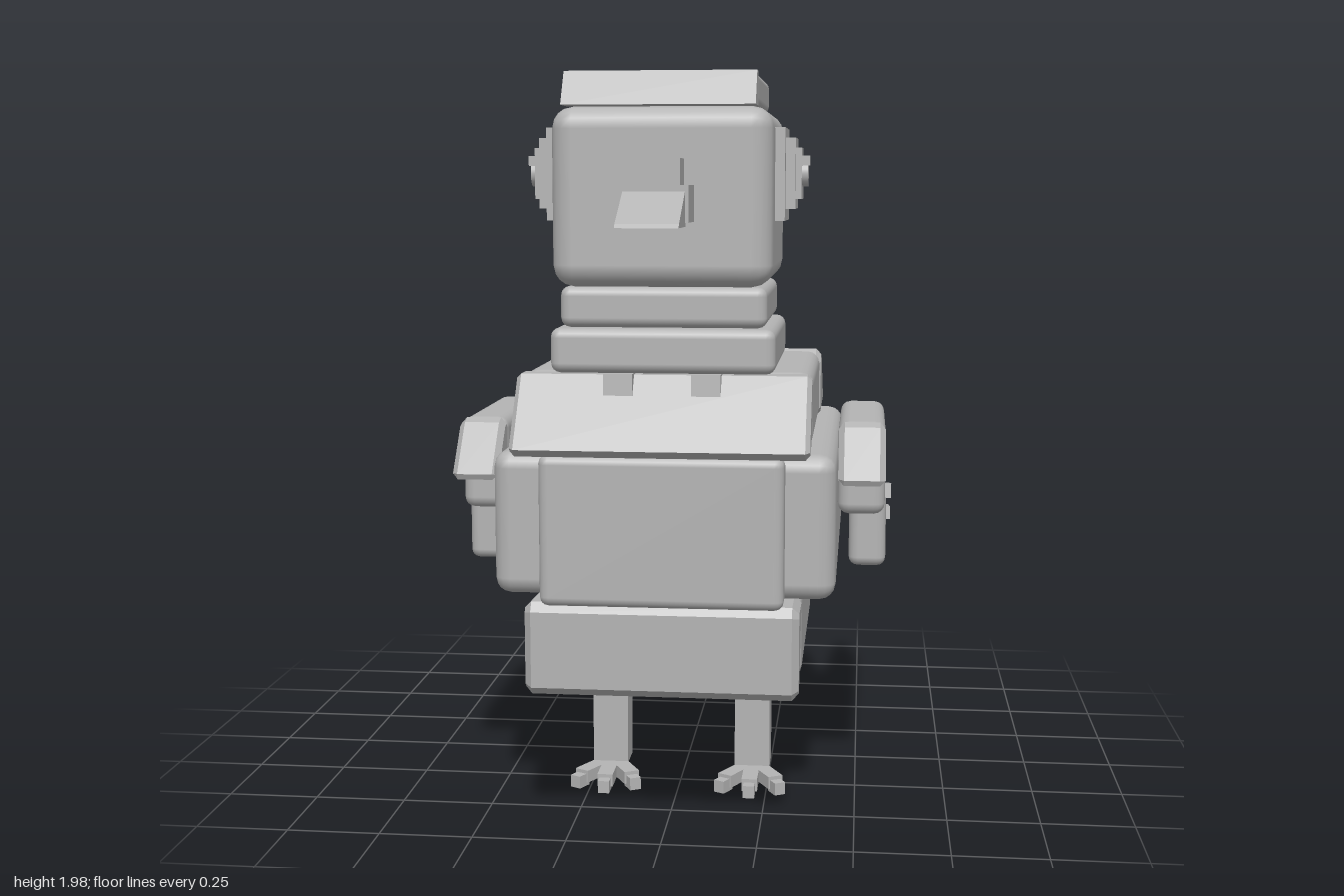
import * as THREE from 'three';
import { RoundedBoxGeometry } from 'three/addons/geometries/RoundedBoxGeometry.js';

export function createModel() {
  const root = new THREE.Group();
  root.name = 'blockyBird';
  const grey = new THREE.MeshStandardMaterial({ color: 0xb4b4b4 });
  grey.name = 'plain grey';

  const add = (parent, name, geometry) => {
    const mesh = new THREE.Mesh(geometry, grey);
    mesh.name = name;
    parent.add(mesh);
    return mesh;
  };
  // Box from its limits; r > 0 rounds the edges
  const block = (parent, name, [x0, x1], [y0, y1], [z0, z1], r = 0) => {
    const size = [x1 - x0, y1 - y0, z1 - z0];
    const g = r ? new RoundedBoxGeometry(...size, 2, r) : new THREE.BoxGeometry(...size);
    const mesh = add(parent, name, g);
    mesh.position.set((x0 + x1) / 2, (y0 + y1) / 2, (z0 + z1) / 2);
    return mesh;
  };
  // Side profile of [z, y] points, extruded across x, with bevelled edges
  const wedge = (parent, name, points, [x0, x1], bevel = 0) => {
    const shape = new THREE.Shape(points.map(([z, y]) => new THREE.Vector2(z, y)));
    const depth = x1 - x0 - 2 * bevel;
    const g = new THREE.ExtrudeGeometry(shape, {
      depth, bevelEnabled: bevel > 0, bevelSize: bevel, bevelThickness: bevel,
      bevelOffset: -bevel, bevelSegments: 1,
    });
    g.translate(0, 0, -depth / 2);
    g.rotateY(-Math.PI / 2);
    const mesh = add(parent, name, g);
    mesh.position.x = (x0 + x1) / 2;
    return mesh;
  };
  const wide = (w) => [-w, w];

  // Head, cap and neck
  block(root, 'head', wide(0.28), [1.445, 1.895], [0.14, 0.725], 0.055);
  block(root, 'cap', wide(0.24), [1.895, 1.98], [0.18, 0.675], 0.02);
  wedge(root, 'capVisor', [[0.665, 1.895], [0.775, 1.895], [0.72, 1.98], [0.68, 1.98]], wide(0.24));
  block(root, 'upperNeck', wide(0.265), [1.34, 1.445], [0.165, 0.675], 0.025);
  block(root, 'lowerNeck', wide(0.288), [1.225, 1.34], [0.14, 0.7], 0.025);

  // Beak
  block(root, 'beakBridge', wide(0.06), [1.70, 1.765], [0.7, 0.82]);
  block(root, 'beakBase', wide(0.085), [1.61, 1.70], [0.7, 0.855]);
  wedge(root, 'beakTip', [[0.84, 1.6], [1.0, 1.6], [0.99, 1.61], [0.855, 1.685], [0.84, 1.685]], wide(0.076));

  // Torso
  block(root, 'shoulders', wide(0.38), [1.02, 1.22], [-0.045, 0.59], 0.035);
  wedge(root, 'bib', [[0.57, 1.17], [0.61, 1.22], [0.665, 1.22], [0.795, 1.04], [0.77, 1.02], [0.66, 1.04]], wide(0.38), 0.012);
  for (const s of [-1, 1]) {
    const [a, b] = [0.075 * s, 0.15 * s];
    wedge(root, 'collarTab', [[0.64, 1.225], [0.70, 1.225], [0.705, 1.17], [0.66, 1.17]], [Math.min(a, b), Math.max(a, b)]);
  }
  wedge(root, 'upperBack', [[-0.05, 1.04], [-0.06, 1.19], [-0.1, 1.22], [-0.17, 1.205], [-0.41, 1.045], [-0.4, 1.03], [-0.08, 1.02]], wide(0.383), 0.015);
  block(root, 'body', wide(0.445), [0.64, 1.02], [-0.367, 0.695], 0.045);
  block(root, 'chestPlate', wide(0.315), [0.625, 1.02], [0.67, 0.75], 0.025);
  wedge(root, 'rump', [[-0.34, 0.64], [-0.35, 0.91], [-0.39, 0.93], [-0.44, 0.92], [-0.615, 0.67], [-0.605, 0.645]], wide(0.31), 0.02);
  block(root, 'belly', wide(0.355), [0.39, 0.63], [-0.215, 0.545], 0.035);
  wedge(root, 'bellyFront', [[0.56, 0.605], [0.57, 0.63], [0.73, 0.635], [0.747, 0.61], [0.747, 0.41], [0.73, 0.39], [0.69, 0.39]], wide(0.355), 0.018);

  // Tail fan, widest near the body
  const fan = new THREE.Shape([
    [-0.27, 0], [-0.14, -0.035], [0, -0.05], [0.14, -0.035], [0.27, 0],
    [0.08, 0.5], [0.04, 0.507], [-0.04, 0.507], [-0.08, 0.5],
  ].map(([x, y]) => new THREE.Vector2(x, y)));
  const fanGeometry = new THREE.ExtrudeGeometry(fan, { depth: 0.075, bevelEnabled: false });
  fanGeometry.rotateX(-Math.PI / 2);
  const tail = add(root, 'tailFan', fanGeometry);
  tail.position.set(0, 0.995, -0.52);
  tail.rotation.x = -0.51;

  // Paired parts, built on the left and repeated on the right
  for (const s of [-1, 1]) {
    const side = s > 0 ? 'left' : 'right';
    const span = (a, b) => (s > 0 ? [a, b] : [-b, -a]);

    // Eye: stacked square frames and a round pupil
    const eye = new THREE.Group();
    eye.name = side + 'Eye';
    root.add(eye);
    block(eye, 'eyeFrame', span(0.26, 0.305), [1.61, 1.845], [0.38, 0.62]);
    block(eye, 'eyeRing', span(0.3, 0.33), [1.64, 1.82], [0.41, 0.585]);
    block(eye, 'eyePlate', span(0.32, 0.345), [1.665, 1.795], [0.445, 0.565]);
    const pupil = add(eye, 'pupil', new THREE.CylinderGeometry(0.034, 0.034, 0.02, 20));
    pupil.rotation.z = Math.PI / 2;
    pupil.position.set(s * 0.35, 1.73, 0.51);
    block(eye, 'eyeGlint', span(0.345, 0.365), [1.75, 1.775], [0.52, 0.545]);

    // Wing
    const wing = new THREE.Group();
    wing.name = side + 'Wing';
    root.add(wing);
    block(wing, 'upperWing', span(0.445, 0.57), [0.83, 1.08], [-0.01, 0.485], 0.03);
    wedge(wing, 'wingFront', [[0.46, 0.95], [0.46, 1.06], [0.48, 1.08], [0.51, 1.07], [0.612, 0.945], [0.605, 0.93]], span(0.447, 0.57), 0.015);
    block(wing, 'lowerWing', span(0.475, 0.575), [0.67, 0.885], [-0.2, 0.39], 0.025);
    wedge(wing, 'wingRear', [[-0.17, 0.665], [-0.17, 0.805], [-0.22, 0.805], [-0.5, 0.69], [-0.5, 0.655], [-0.45, 0.645]], span(0.485, 0.58), 0.012);
    block(wing, 'wingFeather', span(0.492, 0.575), [0.63, 0.73], [-0.57, -0.48]);
    block(wing, 'wingFeather', span(0.502, 0.565), [0.66, 0.72], [-0.61, -0.5]);
    block(wing, 'wingFeather', span(0.512, 0.555), [0.69, 0.775], [-0.635, -0.545]);
    [[0.845, 0.17, 0.41, 0.04], [0.768, 0.09, 0.34, 0.035]].forEach(([y, z, length, h]) => {
      const slat = add(wing, 'wingSlat', new THREE.BoxGeometry(0.03, h, length));
      slat.position.set(s * 0.573, y, z);
      slat.rotation.x = -0.165;
    });

    // Leg and foot
    const leg = new THREE.Group();
    leg.name = side + 'Leg';
    leg.position.set(s * 0.205, 0, 0.193);
    root.add(leg);
    block(leg, 'thigh', wide(0.063), [0.25, 0.37], wide(0.063), 0.022);
    block(leg, 'shin', wide(0.05), [0.04, 0.28], wide(0.048));
    for (const [angle, length] of [[-0.5, 0.18], [0, 0.195], [0.5, 0.18], [Math.PI, 0.11]]) {
      const toe = new THREE.Group();
      toe.name = 'toe';
      toe.rotation.y = angle;
      leg.add(toe);
      block(toe, 'toeBone', wide(0.022), [0.01, 0.045], [0, length - 0.03]);
      block(toe, 'claw', wide(0.016), [0, 0.035], [length - 0.045, length]);
    }
  }
  return root;
}
